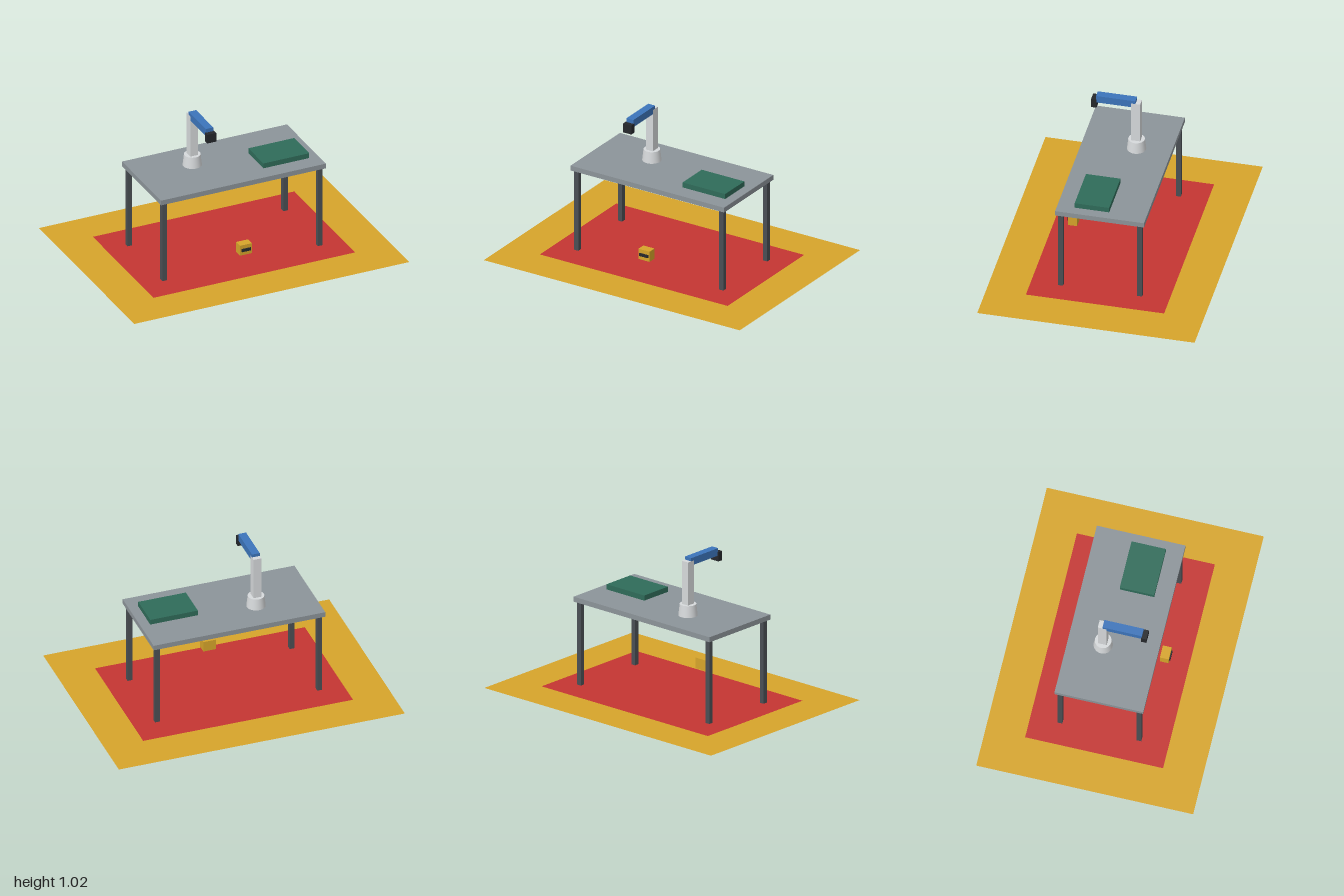
import * as THREE from 'three';

const paint = (color) => new THREE.MeshStandardMaterial({ color });
const dark = paint(0x4a4f54);
const black = paint(0x25272b);
const yellow = paint(0xd6a42a);

export function createModel() {
  const model = new THREE.Group();
  model.name = 'robotWorkstation';

  const add = (name, geometry, material, x, y, z, parent = model) => {
    const mesh = new THREE.Mesh(geometry, material);
    mesh.name = name;
    mesh.position.set(x, y, z);
    parent.add(mesh);
    return mesh;
  };
  const box = (name, material, size, position, parent) =>
    add(name, new THREE.BoxGeometry(...size), material, ...position, parent);
  const sheet = (name, color, width, depth, y) => {
    const material = paint(color);
    material.side = THREE.DoubleSide;
    add(name, new THREE.PlaneGeometry(width, depth).rotateX(-Math.PI / 2), material, 0, y, 0);
  };

  // Floor markings: outer warning zone and inner danger zone
  sheet('warningZone', 0xd6a42a, 2, 1.467, 0.0033);
  sheet('dangerZone', 0xc43532, 1.467, 0.933, 0.0067);

  // Table
  const table = new THREE.Group();
  table.name = 'table';
  model.add(table);
  box('tableTop', paint(0x8c9499), [1.2, 0.035, 0.6], [0, 0.603, 0], table);
  for (const x of [-0.567, 0.567]) {
    for (const z of [-0.267, 0.267]) {
      box('tableLeg', dark, [0.033, 0.587, 0.033], [x, 0.2935, z], table);
    }
  }

  // Work tray
  box('workTray', paint(0x2f6b59), [0.333, 0.037, 0.233], [0.367, 0.638, 0.067]);

  // Robot arm: tapered base, column, boom and gripper
  const robot = new THREE.Group();
  robot.name = 'robotArm';
  robot.position.set(-0.2, 0, -0.066);
  model.add(robot);
  const pale = paint(0xd6d9db);
  add('robotBase', new THREE.CylinderGeometry(0.055, 0.064, 0.08, 32), pale, 0, 0.66, 0, robot);
  box('robotColumn', pale, [0.054, 0.3, 0.06], [0, 0.85, 0], robot);
  box('robotBoom', paint(0x3c74ba), [0.054, 0.052, 0.266], [0, 0.996, 0.135], robot);
  box('robotGripper', black, [0.066, 0.064, 0.037], [0, 0.963, 0.282], robot);

  // Safety scanner with its dark window
  const scanner = new THREE.Group();
  scanner.name = 'safetyScanner';
  scanner.position.set(0, 0.137, 0);
  model.add(scanner);
  box('scannerBody', yellow, [0.087, 0.074, 0.06], [0, 0, 0.31], scanner);
  box('scannerWindow', black, [0.066, 0.02, 0.014], [0, 0, 0.341], scanner);

  return model;
}
